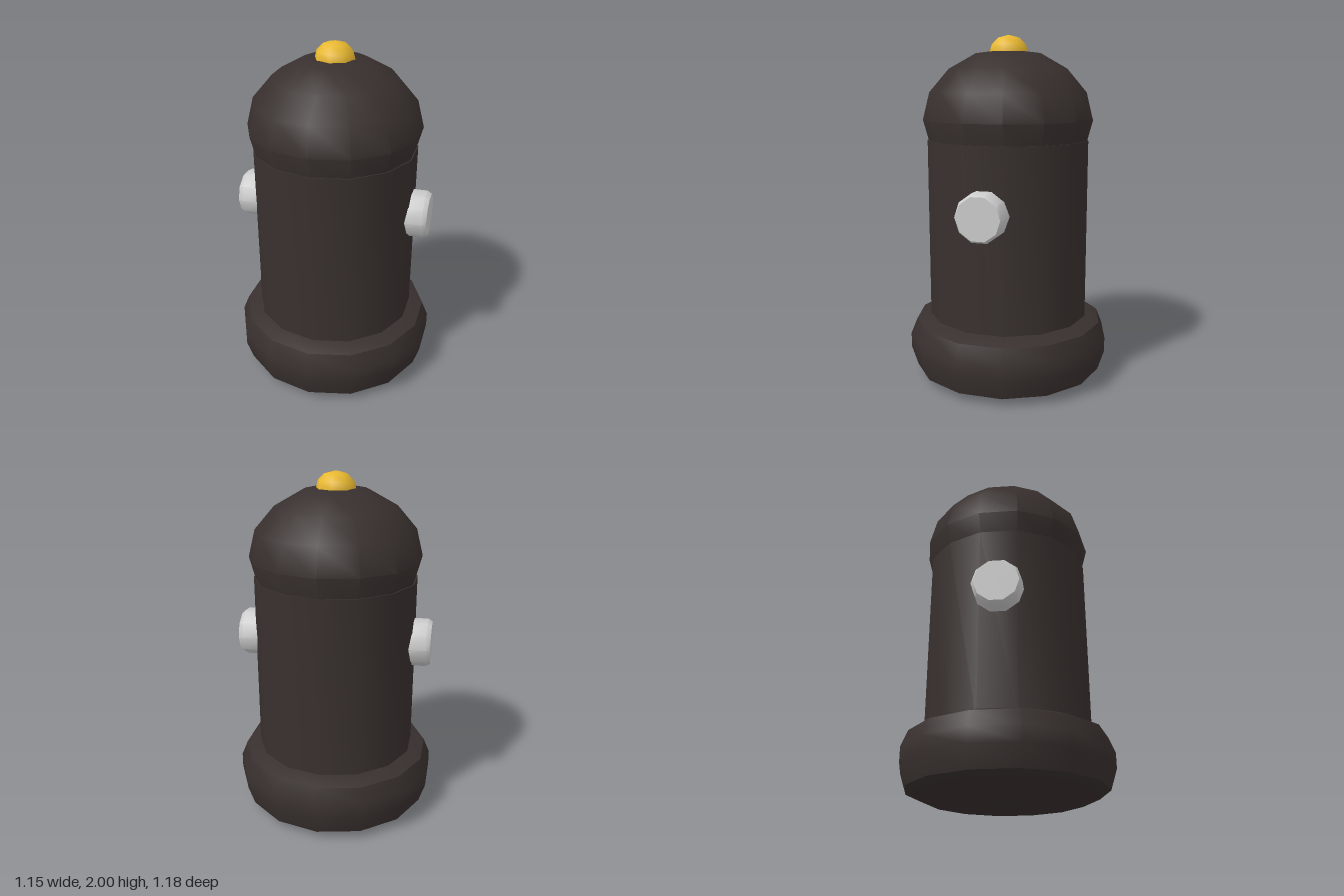
import * as THREE from 'three';
import { toCreasedNormals } from 'three/addons/utils/BufferGeometryUtils.js';

const dark = new THREE.MeshStandardMaterial({ color: 0x38302e });
const gold = new THREE.MeshStandardMaterial({ color: 0xe8b830 });
const grey = new THREE.MeshStandardMaterial({ color: 0xcccccc });

// Turned part from a bottom-to-top profile of [radius, height]
function turned(name, profile, sides, material, crease = 0.66) {
  const points = profile.map(([r, y]) => new THREE.Vector2(r, y));
  const geometry = toCreasedNormals(new THREE.LatheGeometry(points, sides), crease);
  const mesh = new THREE.Mesh(geometry, material);
  mesh.name = name;
  return mesh;
}

export function createModel() {
  const model = new THREE.Group();
  model.name = 'hydrant';

  // Rounded foot
  model.add(turned('base', [
    [0, 0], [0.45, 0.003], [0.555, 0.05], [0.592, 0.165],
    [0.592, 0.25], [0.555, 0.34], [0.465, 0.375], [0, 0.375],
  ], 14, dark));

  // Straight barrel
  model.add(turned('barrel', [[0, 0.3], [0.47, 0.3], [0.47, 1.41], [0, 1.41]], 14, dark));

  // Domed bonnet, tucked in at its lower rim
  model.add(turned('dome', [
    [0, 1.38], [0.455, 1.38], [0.494, 1.525], [0.455, 1.68],
    [0.343, 1.81], [0.188, 1.897], [0, 1.92],
  ], 14, dark));

  // Top nut
  model.add(turned('topKnob', [
    [0.112, 1.89], [0.112, 1.91], [0.102, 1.947], [0.065, 1.983], [0, 2],
  ], 8, gold, 0.9));

  // Side outlet caps, one on each side
  for (const side of [-1, 1]) {
    const cap = turned(side > 0 ? 'leftCap' : 'rightCap', [
      [0, 0.4], [0.138, 0.4], [0.138, 0.538], [0.123, 0.563], [0, 0.563],
    ], 10, grey);
    cap.rotation.z = -side * Math.PI / 2;
    cap.position.y = 1.04;
    model.add(cap);
  }

  return model;
}
